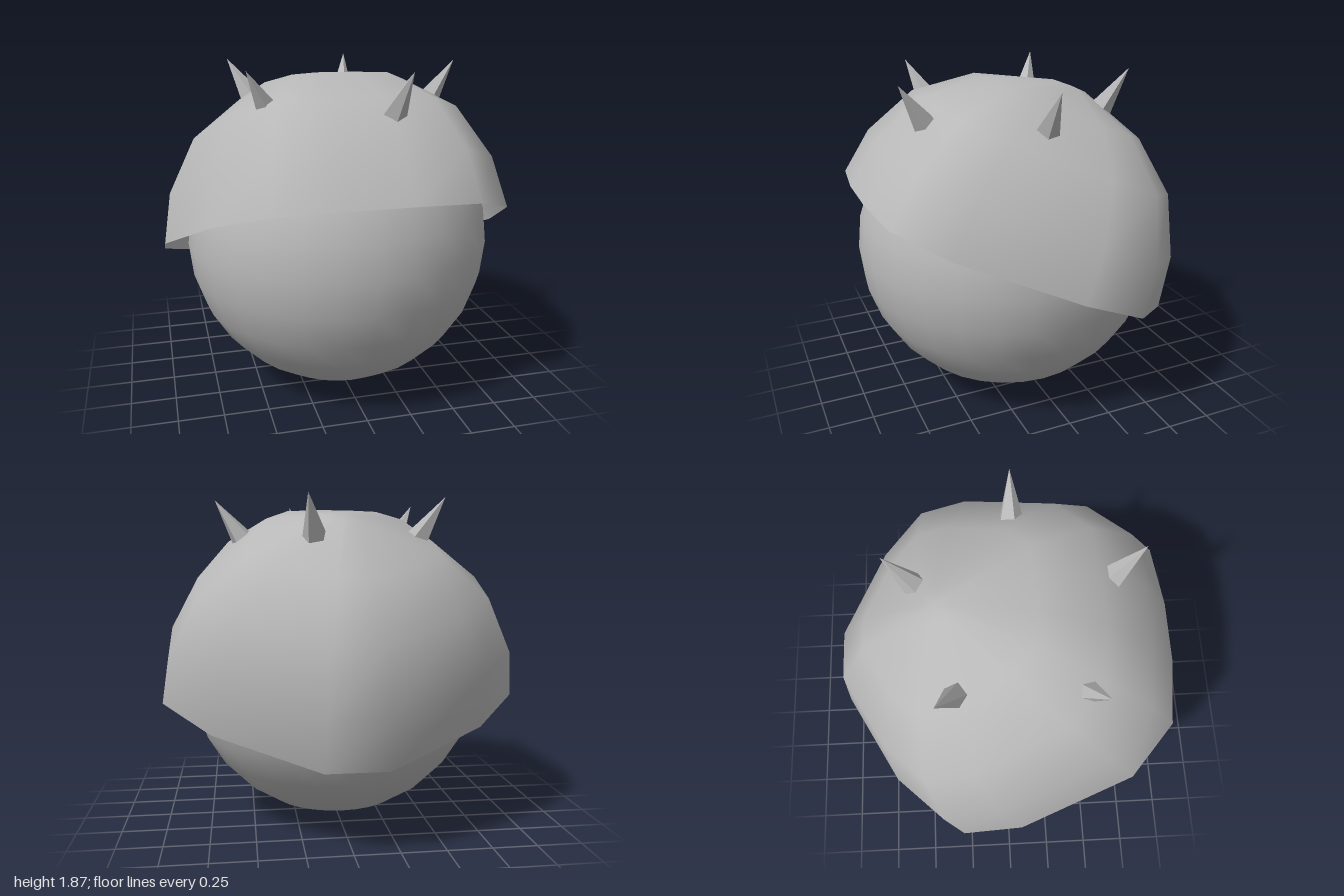
import * as THREE from 'three';

const grey = new THREE.MeshStandardMaterial({ color: 0xb8b8b8 });
grey.name = 'grey';
const shellGrey = grey.clone();
shellGrey.name = 'shell grey';
shellGrey.side = THREE.DoubleSide;
const spikeGrey = grey.clone();
spikeGrey.name = 'spike grey';
spikeGrey.flatShading = true;

const CENTRE = new THREE.Vector3(0, 0.87, 0.07);

// Open faceted dome: one rim outline scaled up through rounded rings
function domeGeometry() {
  const half = [[0.17, 0.984], [0.53, 0.94], [0.79, 0.69], [1, 0.03], [1, -0.33], [0.73, -0.636], [0.17, -0.983]];
  const rim = [...half, ...half.map(([x, z]) => [-x, z]).reverse()];
  const rings = [[1, 0], [0.953, 0.285], [0.795, 0.6], [0.51, 0.825], [0.1, 0.955]]; // scale, height
  const n = rim.length;
  const pos = [];
  const index = [];
  for (const [s, y] of rings) for (const [x, z] of rim) pos.push(x * s, y, z * s);
  pos.push(0, 0.96, 0);
  const apex = rings.length * n;
  for (let r = 0; r < rings.length; r++) {
    for (let i = 0; i < n; i++) {
      const j = (i + 1) % n;
      const a = r * n + i;
      const b = r * n + j;
      if (r === rings.length - 1) index.push(a, b, apex);
      else index.push(a, b, b + n, a, b + n, a + n);
    }
  }
  const g = new THREE.BufferGeometry();
  g.setAttribute('position', new THREE.Float32BufferAttribute(pos, 3));
  g.setIndex(index);
  g.computeVertexNormals();
  return g;
}

export function createModel() {
  const model = new THREE.Group();
  model.name = 'spikedBall';

  // Round body
  const body = new THREE.Mesh(new THREE.SphereGeometry(0.87, 28, 14), grey);
  body.name = 'body';
  body.position.copy(CENTRE);
  model.add(body);

  // Shell leaning back over the body
  const shell = new THREE.Mesh(domeGeometry(), shellGrey);
  shell.name = 'shell';
  shell.position.set(0, 0.865, 0.035);
  shell.rotation.x = -THREE.MathUtils.degToRad(23);
  model.add(shell);

  // Five spikes in a ring, pointing away from the body centre
  const spikeGeometry = new THREE.ConeGeometry(0.07, 0.28, 5);
  const lean = THREE.MathUtils.degToRad(35.1);
  const up = new THREE.Vector3(0, 1, 0);
  for (let i = 0; i < 5; i++) {
    const a = (i / 5) * Math.PI * 2;
    const dir = new THREE.Vector3(Math.sin(lean) * Math.cos(a), Math.cos(lean), Math.sin(lean) * Math.sin(a));
    const spike = new THREE.Mesh(spikeGeometry, spikeGrey);
    spike.name = 'spike' + (i + 1);
    spike.position.copy(CENTRE).addScaledVector(dir, 1.078);
    spike.quaternion.setFromUnitVectors(up, dir);
    model.add(spike);
  }
  return model;
}
